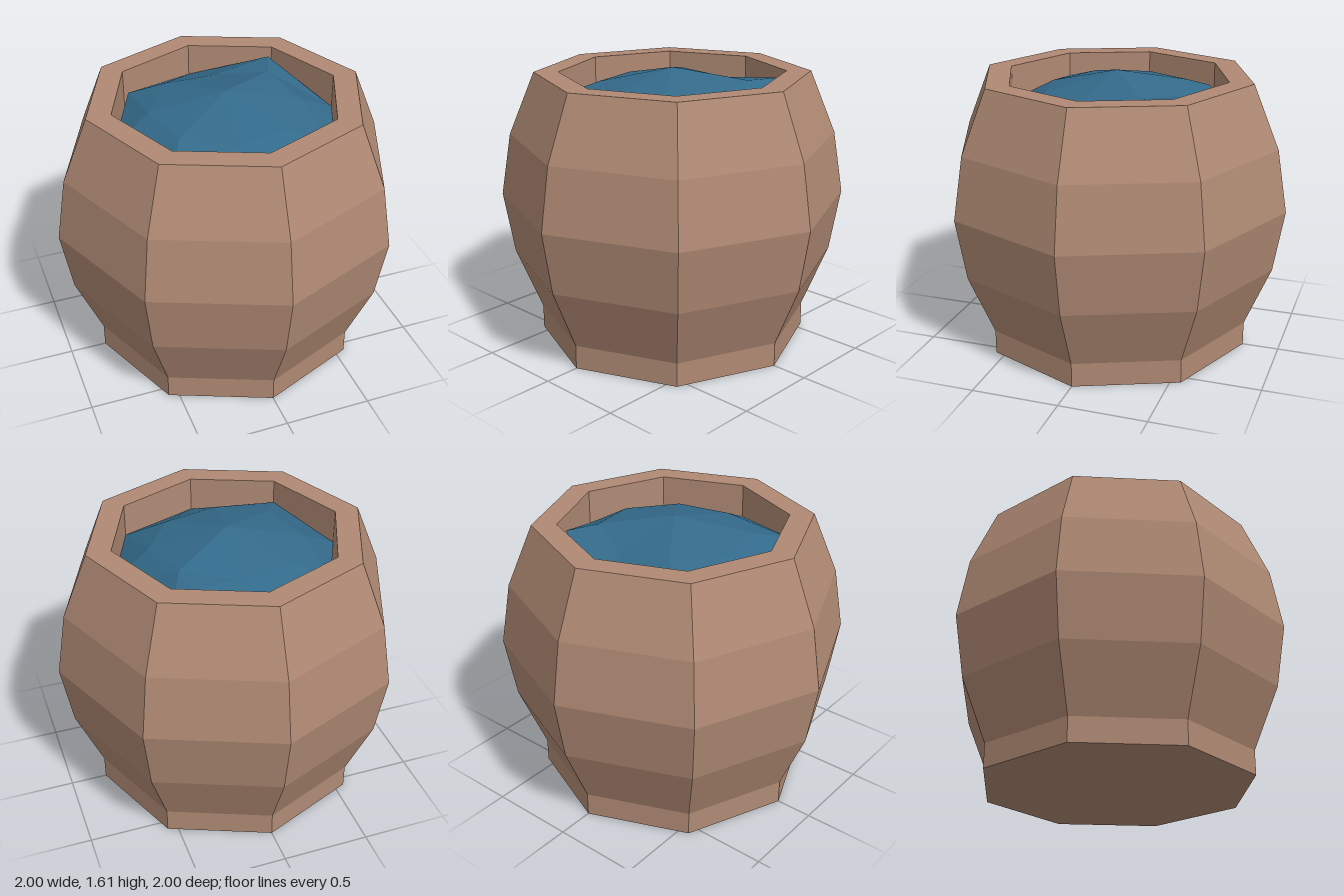
import * as THREE from 'three';

const SIDES = 8;

function flatMesh(name, geometry, color) {
  const geo = geometry.index ? geometry.toNonIndexed() : geometry;
  geo.computeVertexNormals();
  const mesh = new THREE.Mesh(geo, new THREE.MeshStandardMaterial({ color, flatShading: true }));
  mesh.name = name;
  return mesh;
}

// Bulging eight-sided barrel: base, outer wall, flat rim, inner wall and floor
function barrel() {
  const profile = [
    [0, 0], [0.79, 0], [0.79, 0.14], [0.94, 0.5], [1, 0.86], [0.94, 1.22],
    [0.79, 1.58], [0.65, 1.58], [0.65, 0.14], [0, 0.14],
  ].map(([r, y]) => new THREE.Vector2(r, y));
  return flatMesh('barrel', new THREE.LatheGeometry(profile, SIDES), 0xb08a74);
}

// Faceted water: a raised centre, a slightly twisted middle ring and an uneven edge
function water() {
  const centre = [0, 1.605, 0];
  const ring = (radii, heights, twist) => heights.map((y, i) => {
    const a = (i / SIDES) * Math.PI * 2 + twist; // from +x towards +z
    return [Math.cos(a) * radii[i], y, Math.sin(a) * radii[i]];
  });
  const middle = ring(
    [0.43, 0.42, 0.42, 0.43, 0.43, 0.43, 0.39, 0.43],
    [1.51, 1.5, 1.5, 1.51, 1.51, 1.52, 1.5, 1.54], 0.17);
  const edge = ring(
    [0.65, 0.65, 0.65, 0.65, 0.65, 0.62, 0.65, 0.6],
    [1.38, 1.39, 1.38, 1.44, 1.38, 1.45, 1.39, 1.54], 0);

  const corners = [];
  for (let i = 0; i < SIDES; i++) {
    const j = (i + 1) % SIDES;
    corners.push(centre, middle[j], middle[i]);
    corners.push(middle[i], edge[j], edge[i]);
    corners.push(middle[i], middle[j], edge[j]);
  }
  const geo = new THREE.BufferGeometry();
  geo.setAttribute('position', new THREE.Float32BufferAttribute(corners.flat(), 3));
  const mesh = flatMesh('water', geo, 0x336a8a);
  mesh.material.side = THREE.DoubleSide;
  return mesh;
}

export function createModel() {
  const model = new THREE.Group();
  model.name = 'waterBarrel';
  model.add(barrel(), water());
  return model;
}
